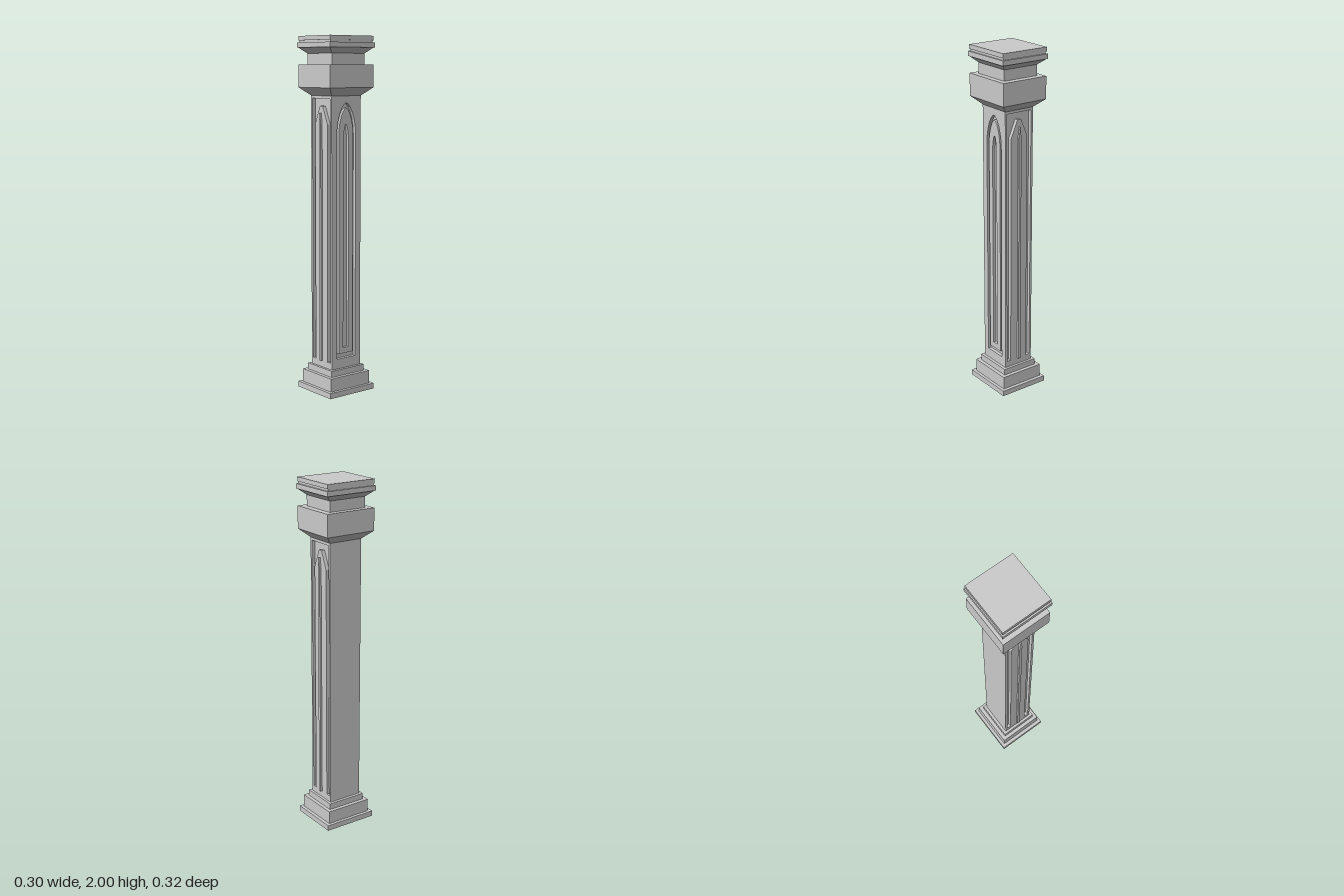
import * as THREE from 'three';

const material = new THREE.MeshStandardMaterial({ color: 0xcccccc, flatShading: true });
const V = (x, y) => new THREE.Vector2(x, y);

// Rectangular tier; the top may be wider than the bottom to make a flare.
function tier(name, y0, y1, hx, hz, topX = hx, topZ = hz) {
  const g = new THREE.BoxGeometry(2, y1 - y0, 2);
  const p = g.attributes.position;
  for (let i = 0; i < p.count; i++) {
    const up = p.getY(i) > 0;
    p.setX(i, p.getX(i) * (up ? topX : hx));
    p.setZ(i, p.getZ(i) * (up ? topZ : hz));
  }
  g.translate(0, (y0 + y1) / 2, 0);
  g.computeVertexNormals();
  const m = new THREE.Mesh(g, material);
  m.name = name;
  return m;
}

// Flat plate from an outline with optional holes, extruded along +z from z0.
function plate(name, outline, holes, z0, depth) {
  const shape = new THREE.Shape(outline);
  holes.forEach(h => shape.holes.push(new THREE.Path(h)));
  const g = new THREE.ExtrudeGeometry(shape, { depth, bevelEnabled: false });
  g.translate(0, 0, z0);
  const m = new THREE.Mesh(g, material);
  m.name = name;
  return m;
}

const rect = (w, y0, y1) => [V(-w, y0), V(w, y0), V(w, y1), V(-w, y1)];

// Pointed arch: straight jambs, then two curves meeting at the apex.
function lancet(w, y0, spring, apex, steps = 6) {
  const right = [];
  for (let i = 0; i <= steps; i++) {
    const a = (i / steps) * Math.PI / 2;
    right.push(V(w * Math.pow(Math.cos(a), 1.25), spring + (apex - spring) * Math.sin(a)));
  }
  right[steps].x = 0;
  const left = right.slice(0, steps).reverse().map(p => V(-p.x, p.y));
  return [V(-w, y0), V(w, y0), ...right, ...left];
}

export function createModel() {
  const model = new THREE.Group();
  model.name = 'pillar';
  const HX = 0.093, HZ = 0.102, CUT = 0.02, Y0 = 0.143, Y1 = 1.675;

  // Stepped base and capital
  [
    ['baseSlab', 0, 0.032, 0.15, 0.158],
    ['basePlinth', 0.032, 0.107, 0.132, 0.138],
    ['baseStep', 0.107, 0.143, 0.11, 0.117],
    ['capitalFlare', 1.675, 1.72, HX, HZ, 0.142, 0.152],
    ['capitalBlock', 1.72, 1.845, 0.142, 0.152],
    ['capitalNeck', 1.845, 1.905, 0.109, 0.114],
    ['corniceFlare', 1.905, 1.937, 0.109, 0.114, 0.143, 0.152],
    ['corniceSlab', 1.937, 1.964, 0.147, 0.156],
    ['corniceGap', 1.964, 1.976, 0.138, 0.146],
    ['topSlab', 1.976, 2, 0.143, 0.151],
  ].forEach(t => model.add(tier(...t)));

  // Shaft core, plain on the left side and set back behind the carved faces
  const core = tier('shaftCore', Y0, Y1, HX - CUT / 2, HZ - CUT);
  core.position.x = -CUT / 2;
  model.add(core);

  // Front and back: groove around a gabled panel, with a pointed central rib
  const groove = [
    V(-0.08, 0.18), V(-0.055, 0.18), V(-0.055, 1.52), V(-0.012, 1.62), V(0.012, 1.62),
    V(0.055, 1.52), V(0.055, 0.18), V(0.08, 0.18), V(0.08, 1.66), V(-0.08, 1.66),
  ];
  const rib = [V(-0.008, 0.18), V(0.008, 0.18), V(0.008, 1.52), V(0, 1.58), V(-0.008, 1.52)];
  for (const [side, turn] of [['front', 0], ['back', Math.PI]]) {
    const face = new THREE.Group();
    face.name = side + 'Face';
    face.add(plate(side + 'Panel', rect(HX, Y0, Y1), [groove], HZ - CUT, CUT));
    face.add(plate(side + 'Rib', rib, [], HZ - 0.005, 0.016));
    face.rotation.y = turn;
    model.add(face);
  }

  // Carved +x side: arched groove around a panel with a narrow slot
  const carved = new THREE.Group();
  carved.name = 'archedSide';
  carved.add(plate('archFrame', rect(HZ - CUT, Y0, Y1),
    [lancet(0.066, 0.2, 1.46, 1.637)], HX - CUT, CUT));
  carved.add(plate('archPanel', lancet(0.05, 0.227, 1.46, 1.61),
    [lancet(0.018, 0.26, 1.42, 1.52)], HX - CUT, CUT - 0.003));
  carved.rotation.y = Math.PI / 2;
  model.add(carved);

  return model;
}
